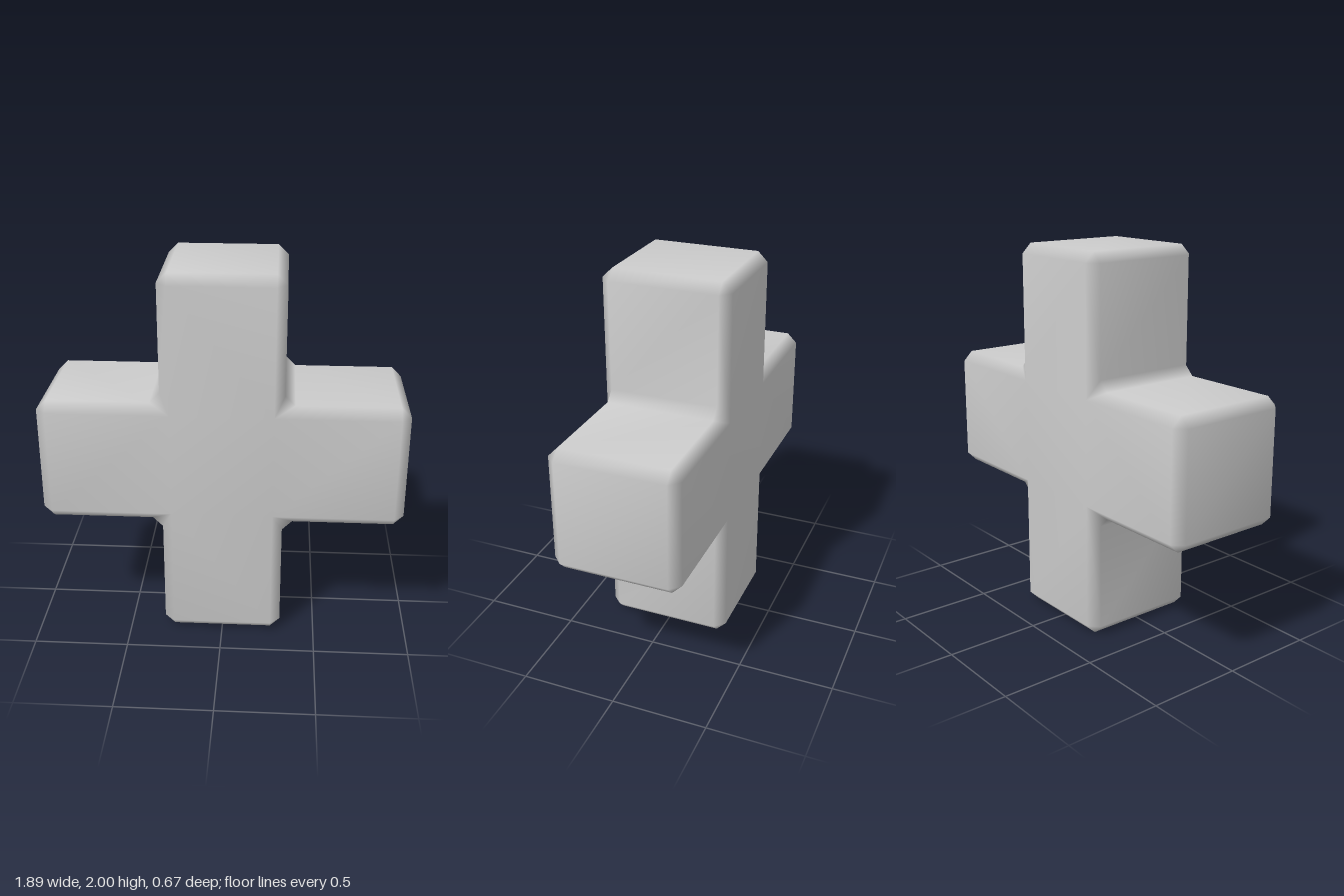
import * as THREE from 'three';

const ARM_X = 0.945, ARM_Y = 1, HALF_W = 0.315, HALF_H = 0.33, DEPTH = 0.335, C = 0.052;

// Plus outline, counter-clockwise: each corner gives one point on the flat face
// and a pair of points on the side wall, so every edge is chamfered.
function plusOutline() {
  const face = [
    [ARM_X - C, HALF_H - C], [HALF_W - C, HALF_H - C], [HALF_W - C, ARM_Y - C],
  ];
  const wall = [
    [ARM_X, HALF_H - C], [ARM_X - C, HALF_H], // end of side arm
    [HALF_W + C, HALF_H], [HALF_W, HALF_H + C], // inner corner
    [HALF_W, ARM_Y - C], [HALF_W - C, ARM_Y], // end of upright arm
  ];
  // Mirror one quadrant into all four
  const around = (pts) => [[1, 1], [-1, 1], [-1, -1], [1, -1]].flatMap(([sx, sy]) => {
    const q = pts.map(([x, y]) => [x * sx, y * sy]);
    return sx * sy < 0 ? q.reverse() : q;
  });
  return { face: around(face), wall: around(wall) };
}

function bevelledPlus() {
  const { face, wall } = plusOutline();
  const n = face.length, m = wall.length;
  const positions = [], index = [];
  const addRing = (pts, z) => {
    const start = positions.length / 3;
    pts.forEach(([x, y]) => positions.push(x, y + ARM_Y, z));
    return start;
  };
  const tri = (a, b, c, flip) => index.push(...(flip ? [a, c, b] : [a, b, c]));
  const quad = (a, b, c, d, flip) => {
    tri(a, b, c, flip);
    tri(a, c, d, flip);
  };

  const rings = [1, -1].map((side) => {
    const f = addRing(face, side * DEPTH);
    const w = addRing(wall, side * (DEPTH - C));
    const flip = side < 0;
    // Flat face: centre square and four arms
    quad(f + 1, f + 4, f + 7, f + 10, flip);
    for (let k = 1; k < n; k += 3) {
      quad(f + k, f + k + 1, f + (k + 2) % n, f + (k + 3) % n, flip);
    }
    // Chamfer between the face and the side wall
    for (let i = 0; i < n; i++) {
      tri(f + i, w + 2 * i, w + 2 * i + 1, flip);
      quad(f + i, w + 2 * i + 1, w + (2 * i + 2) % m, f + (i + 1) % n, flip);
    }
    return w;
  });

  // Side wall
  const [front, back] = rings;
  for (let j = 0; j < m; j++) {
    const k = (j + 1) % m;
    quad(front + j, back + j, back + k, front + k, false);
  }

  const geometry = new THREE.BufferGeometry();
  geometry.setAttribute('position', new THREE.Float32BufferAttribute(positions, 3));
  geometry.setIndex(index);
  geometry.computeVertexNormals(); // shared vertices give the soft shading
  return geometry;
}

export function createModel() {
  const group = new THREE.Group();
  group.name = 'plusBlock';
  const body = new THREE.Mesh(bevelledPlus(), new THREE.MeshStandardMaterial({ color: 0xcccccc }));
  body.name = 'crossBody';
  group.add(body);
  return group;
}
